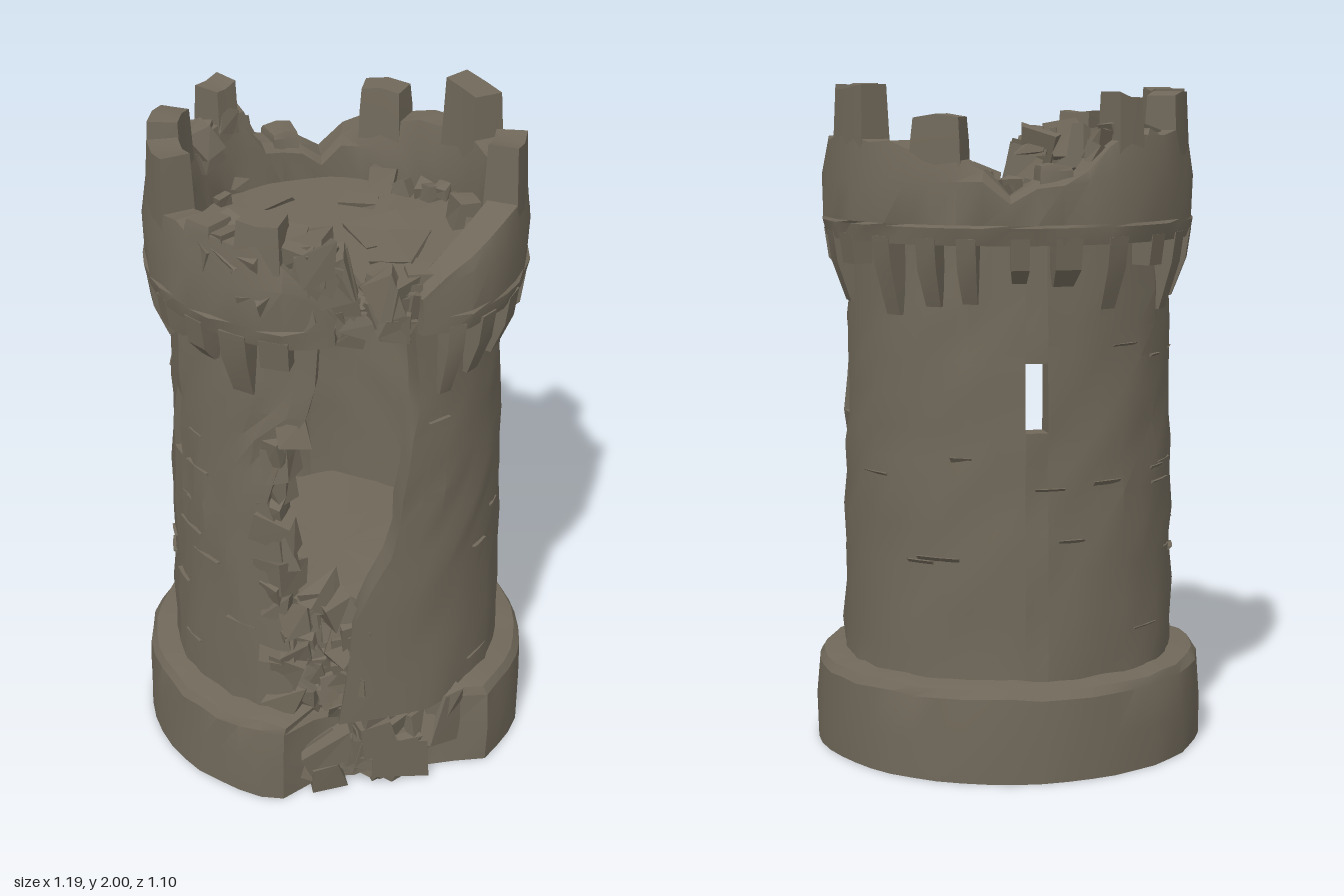
import * as THREE from 'three';
import { mergeGeometries, toCreasedNormals } from 'three/addons/utils/BufferGeometryUtils.js';

const { lerp, clamp, degToRad } = THREE.MathUtils;
const CZ = 0.04; // z of the tower axis
const FRONT = 0.535; // the ruined front is worn back to this plane

let seed = 7;
const rnd = () => {
  seed = (seed * 16807) % 2147483647;
  return seed / 2147483647;
};
const range = (a, b) => a + (b - a) * rnd();

// Repeatable noise in -1..1 so that neighbouring pieces share their seams
function noise(a, y, k = 0) {
  const s = Math.sin(Math.round(((a + 720) % 360) * 100) * 0.1299 + y * 78.233 + k * 37.7) * 43758.5453;
  return (s - Math.floor(s)) * 2 - 1;
}

// Piecewise linear curve through [x, value] pairs
function curve(pts, x) {
  for (let i = 1; i < pts.length; i++) {
    if (x <= pts[i][0]) {
      const [x0, v0] = pts[i - 1], [x1, v1] = pts[i];
      return lerp(v0, v1, clamp((x - x0) / (x1 - x0), 0, 1));
    }
  }
  return pts[pts.length - 1][1];
}

// Azimuth in degrees runs from the front (+z) towards +x
function polar(a, r, y) {
  const t = degToRad(a);
  return new THREE.Vector3(r * Math.sin(t), y, Math.min(FRONT, CZ + r * Math.cos(t)));
}

// Closed curved block: point(t, row, inner) gives [azimuth, radius, y]
function arcSolid(steps, rows, point) {
  const pos = [];
  const tri = (a, b, c) => {
    const area = b.clone().sub(a).cross(c.clone().sub(a)).length();
    if (area > 1e-8) for (const p of [a, b, c]) pos.push(p.x, p.y, p.z);
  };
  const quad = (a, b, c, d) => { tri(a, b, c); tri(a, c, d); };
  const grid = (inner) => Array.from({ length: steps + 1 }, (_, i) =>
    Array.from({ length: rows }, (_, j) => polar(...point(i / steps, j, inner))));
  const o = grid(false), n = grid(true), m = rows - 1;
  for (let i = 0; i < steps; i++) {
    for (let j = 0; j < m; j++) {
      quad(o[i][j], o[i + 1][j], o[i + 1][j + 1], o[i][j + 1]);
      quad(n[i][j], n[i][j + 1], n[i + 1][j + 1], n[i + 1][j]);
    }
    quad(o[i][m], o[i + 1][m], n[i + 1][m], n[i][m]);
    quad(o[i][0], n[i][0], n[i + 1][0], o[i + 1][0]);
  }
  for (let j = 0; j < m; j++) {
    quad(o[0][j], o[0][j + 1], n[0][j + 1], n[0][j]);
    quad(o[steps][j], n[steps][j], n[steps][j + 1], o[steps][j + 1]);
  }
  const g = new THREE.BufferGeometry();
  g.setAttribute('position', new THREE.Float32BufferAttribute(pos, 3));
  return toCreasedNormals(g, 0.45);
}

// Rough block: a box whose eight corners are pushed about, kept behind the worn front
function stone(a, r, y, w, h, d, rough = 0.16, tilt = 0.4) {
  const g = new THREE.BoxGeometry(1, 1, 1).toNonIndexed();
  const p = g.attributes.position, k = range(0, 50);
  for (let i = 0; i < p.count; i++) {
    const c = p.getX(i) * 31 + p.getY(i) * 7 + p.getZ(i) * 3;
    p.setXYZ(i, ...[p.getX(i), p.getY(i), p.getZ(i)].map((v, q) => v + rough * noise(c * 5, c, k + q)));
  }
  g.scale(w, h, d);
  g.rotateX(range(-tilt, tilt));
  g.rotateZ(range(-tilt, tilt));
  g.rotateY(degToRad(a) + range(-tilt, tilt));
  const c = polar(a, r, y);
  g.translate(c.x, c.y, c.z);
  for (let i = 0; i < p.count; i++) p.setXYZ(i, p.getX(i), Math.max(0, p.getY(i)), Math.min(FRONT + 0.008, p.getZ(i)));
  g.computeVertexNormals();
  return g;
}

export function createModel() {
  const tower = new THREE.Group();
  tower.name = 'ruinedTower';
  const stoneMat = new THREE.MeshStandardMaterial({ color: 0x70685a });
  stoneMat.name = 'weatheredStone';
  const add = (name, geo) => {
    const m = new THREE.Mesh(Array.isArray(geo) ? mergeGeometries(geo) : geo, stoneMat);
    m.name = name;
    tower.add(m);
  };
  const many = (n, fn) => Array.from({ length: n }, (_, i) => fn(i));

  // Plinth, with its front broken away
  const plinthY = [0, 0.12, 0.245, 0.27, 0.285], plinthR = [0.592, 0.592, 0.586, 0.57, 0.49];
  add('plinth', arcSolid(48, 5, (t, j, inner) => {
    const a = lerp(-180, 180, t);
    let r = plinthR[j] + 0.004 * noise(a, j);
    if (a > -29 && a < 35) r = Math.min(r, (0.44 + 0.015 * noise(a, j)) / Math.cos(degToRad(a)));
    return [a, inner ? 0 : r, plinthY[j] + (j > 1 ? 0.006 * noise(a, 1) : 0)];
  }));

  // Wall: four panels between the slit windows, open along the breach
  const leftEdge = [[0.25, -32], [0.4, -30], [0.6, -34], [0.8, -34], [1, -37], [1.19, -34], [1.27, -24], [1.58, -21]];
  const rightEdge = [[0.25, -12], [0.55, -11], [0.7, -5], [0.82, 3], [1, 8], [1.2, 12], [1.4, 15], [1.58, 12]];
  const wallY = [0.25, 0.36, 0.48, 0.6, 0.72, 0.82, 0.92, 1.01, 1.11, 1.21, 1.3, 1.4, 1.58];
  const wallR = (y) => curve([[0.25, 0.507], [0.9, 0.497], [1.58, 0.483]], y);
  const wall = (from, to, steps, ys) => arcSolid(steps, ys.length, (t, j, inner) => {
    const y = ys[j];
    const a = lerp(from(y), to(y), t);
    return [a, (inner ? 0.425 : wallR(y)) + 0.008 * noise(a, y, inner ? 1 : 0), y];
  });
  const at = (v) => () => v;
  const jagged = (edge, k) => (y) => curve(edge, y) + 1.8 * noise(k, y);
  const slits = [85.5, 180, 274.5], hw = 3.8;
  const bounds = [jagged(rightEdge, 3), ...slits.flatMap((s) => [at(s - hw), at(s + hw)]),
    (y) => 360 + jagged(leftEdge, 5)(y)];
  const panels = many(4, (i) => wall(bounds[2 * i], bounds[2 * i + 1], 9, wallY));
  for (const s of slits) {
    for (const ys of [wallY.slice(0, 8), wallY.slice(9)]) panels.push(wall(at(s - hw), at(s + hw), 1, ys));
  }
  add('wall', panels);

  // Thin proud courses on the wall
  add('wallCourses', many(30, () => {
    const a = range(22, 312), y = range(0.34, 1.32), w = range(3, 8), h = range(0.006, 0.016);
    const cut = slits.some((s) => Math.abs(s - a) < 14) && y > 0.96 && y < 1.25;
    return arcSolid(2, 2, (t, j, inner) =>
      [a + lerp(-w, w, t), inner ? 0.46 : wallR(y) + (j ? 0.007 : -0.004), (cut ? 0.88 : y) + h * j]);
  }));

  // Fill inside the tower and the upper floor
  const disc = (r, y0, y1, bump) => arcSolid(28, 2, (t, j, inner) => {
    const a = lerp(-180, 180, t);
    return [a, inner ? 0 : r, (j ? y1 : y0) + (j && !inner ? bump * noise(a, 2) : 0)];
  });
  add('rubbleFill', disc(0.44, 0.2, 0.56, 0.03));
  add('upperFloor', disc(0.445, 1.575, 1.625, 0.015));

  // Parapet ring with a ragged rim
  const rim = [[12, 1.67], [20, 1.72], [35, 1.79], [55, 1.85], [130, 1.84], [152, 1.81], [163, 1.76], [174, 1.68],
    [182, 1.74], [195, 1.77], [205, 1.85], [215, 1.87], [300, 1.82], [320, 1.85], [334, 1.76], [346, 1.64]];
  const ringR = [0.548, 0.56, 0.556, 0.559, 0.542];
  add('parapet', arcSolid(42, 5, (t, j, inner) => {
    const a = lerp(12, 346, t);
    const top = curve(rim, a) + 0.014 * noise(a, 4);
    const y = [1.55, 1.6, 1.608, Math.min(1.73, top - 0.02), top][j];
    return [a, (inner ? 0.43 + (j === 4 ? 0.022 : 0) : ringR[j]) + 0.005 * noise(a, j, 2), y];
  }));

  // Battlements: azimuth, half width in degrees, top height
  const merlons = [[60.5, 8, 2], [110.5, 9.5, 2], [148, 8, 1.92], [185, 5, 1.78], [211, 5, 1.98],
    [243, 8.5, 1.98], [274.5, 8.5, 1.99], [301, 5, 1.88], [322, 7, 1.92]];
  add('merlons', merlons.map(([a, w, top], k) => arcSolid(2, 3, (t, j, inner) => {
    const wide = w * [1.08, 1, 0.93][j];
    const r = inner ? [0.435, 0.445, 0.452][j] : [0.55, 0.546, 0.54][j];
    const y = Math.min([1.66, 1.84, top][j], top - (2 - j) * 0.02);
    return [a + lerp(-wide, wide, t), r, y - (j === 2 ? 0.01 * (1 + noise(k, t)) : 0)];
  })));

  // Corbels under the parapet, some broken short
  add('corbels', many(21, (i) => {
    const a = 21 + i * 15.4 + 2.5 * noise(i, 9);
    const low = 1.34 + [0, 0.02, 0.1, 0.03, 0.14, 0.09, 0.04][(i * 3) % 7];
    const w = 3.6 + 0.9 * noise(i, 5);
    return arcSolid(1, 3, (t, j, inner) =>
      [a + lerp(-w, w, t) * (j ? 1 : 0.85), inner ? 0.45 : [0.5, 0.543, 0.556][j], [low, 1.48, 1.57][j]]);
  }));

  // Fallen and broken masonry
  const rubble = (name, n, a, r, y, s) => add(name, many(n, () => {
    const k = range(...s);
    return stone(range(...a), range(...r), range(...y), k, k * range(0.6, 1.2), k * range(0.7, 1.2));
  }));
  rubble('breachHeap', 46, [-32, -6], [0.37, 0.46], [0.27, 0.68], [0.05, 0.1]);
  rubble('plinthRubble', 30, [-27, 33], [0.43, 0.48], [0.05, 0.2], [0.08, 0.14]);
  rubble('floorEdgeRubble', 26, [-18, 17], [0.37, 0.46], [1.58, 1.67], [0.06, 0.1]);
  rubble('parapetRubble', 26, [-60, -17], [0.45, 0.5], [1.62, 1.82], [0.08, 0.13]);
  rubble('innerParapetRubble', 30, [-180, 180], [0.4, 0.44], [1.61, 1.67], [0.04, 0.09]);
  rubble('backRimRubble', 8, [198, 230], [0.45, 0.49], [1.76, 1.86], [0.06, 0.09]);

  // Toothed stones along the breach
  add('breachEdgeStones', many(18, (i) => {
    const y = 0.32 + i * 0.054, k = range(0.07, 0.1);
    return stone(curve(leftEdge, y) - 2, range(0.43, 0.465), y, k, k, k);
  }));

  // Loose paving on the upper floor: azimuth, radius, width, depth
  const slabs = [[58, 0.2, 0.22, 0.12], [20, 0.26, 0.25, 0.1], [-25, 0.26, 0.12, 0.14], [150, 0.27, 0.1, 0.08],
    [-110, 0.26, 0.26, 0.16], [205, 0.33, 0.16, 0.1], [-60, 0.3, 0.09, 0.09], [100, 0.14, 0.16, 0.16]];
  add('loosePaving', slabs.map(([a, r, w, d]) => stone(a, r, 1.618, w, 0.035, d, 0.12, 0.06)));

  return tower;
}
